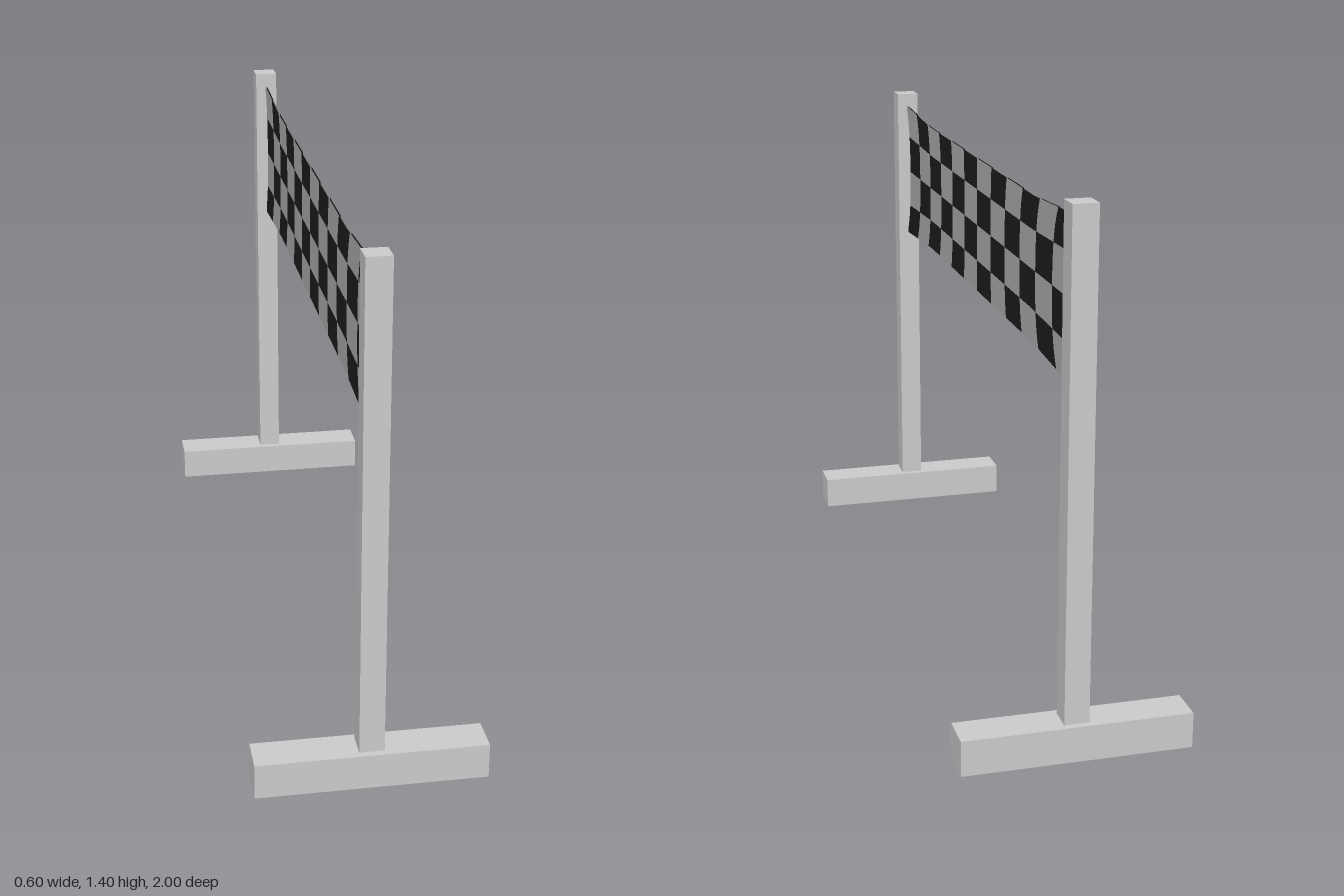
import * as THREE from 'three';

const COLS = 12, ROWS = 4, SUB = 4;
const MID_Y = 1.151;

// Point on the stretched cloth; u runs along z and v along y, both -1..1
function clothPoint(u, v) {
  const pull = 0.02 * Math.max(0, (Math.abs(u) - 0.62) / 0.38);
  const rowV = v + 0.1 * v * (1 - v * v); // inner rows are slightly taller
  const z = u * (0.877 + 0.053 * Math.abs(v) ** 2.6); // corners reach into the posts
  return [0, MID_Y + rowV * (0.19 + pull), z];
}

// All squares of one colour, facing +x
function checkerGeometry(parity) {
  const positions = [], indices = [];
  for (let c = 0; c < COLS; c++) {
    for (let r = 0; r < ROWS; r++) {
      if ((c + r) % 2 !== parity) continue;
      const start = positions.length / 3;
      for (let i = 0; i <= SUB; i++) {
        for (let j = 0; j <= SUB; j++) {
          const u = -1 + 2 * (c + i / SUB) / COLS;
          const v = -1 + 2 * (r + j / SUB) / ROWS;
          positions.push(...clothPoint(u, v));
        }
      }
      for (let i = 0; i < SUB; i++) {
        for (let j = 0; j < SUB; j++) {
          const a = start + i * (SUB + 1) + j, b = a + SUB + 1;
          indices.push(a, a + 1, b, a + 1, b + 1, b);
        }
      }
    }
  }
  const geometry = new THREE.BufferGeometry();
  geometry.setAttribute('position', new THREE.Float32BufferAttribute(positions, 3));
  geometry.setIndex(indices);
  geometry.computeVertexNormals();
  return geometry;
}

export function createModel() {
  const model = new THREE.Group();
  model.name = 'finishGate';
  const grey = new THREE.MeshStandardMaterial({ color: 0xcccccc });
  const clothGrey = new THREE.MeshStandardMaterial({ color: 0xb1b1b1, side: THREE.DoubleSide });
  const clothBlack = new THREE.MeshStandardMaterial({ color: 0x1e1e1e, side: THREE.DoubleSide });

  function add(parent, name, geometry, material) {
    const mesh = new THREE.Mesh(geometry, material);
    mesh.name = name;
    parent.add(mesh);
    return mesh;
  }

  // Foot and post at each end
  for (const [side, name] of [[1, 'front'], [-1, 'back']]) {
    add(model, name + 'Foot', new THREE.BoxGeometry(0.6, 0.095, 0.1), grey)
      .position.set(0, 0.0475, side * 0.95);
    add(model, name + 'Post', new THREE.BoxGeometry(0.065, 1.305, 0.065), grey)
      .position.set(0, 0.7475, side * 0.95);
  }

  // Checkered banner: two cloth faces back to back, a hair apart
  const greySquares = checkerGeometry(0), blackSquares = checkerGeometry(1);
  for (const [name, side] of [['bannerLeftFace', 1], ['bannerRightFace', -1]]) {
    const face = new THREE.Group();
    face.name = name;
    face.position.x = side * 0.002;
    face.rotation.y = side > 0 ? 0 : Math.PI;
    add(face, 'greySquares', greySquares, clothGrey);
    add(face, 'blackSquares', blackSquares, clothBlack);
    model.add(face);
  }
  return model;
}
